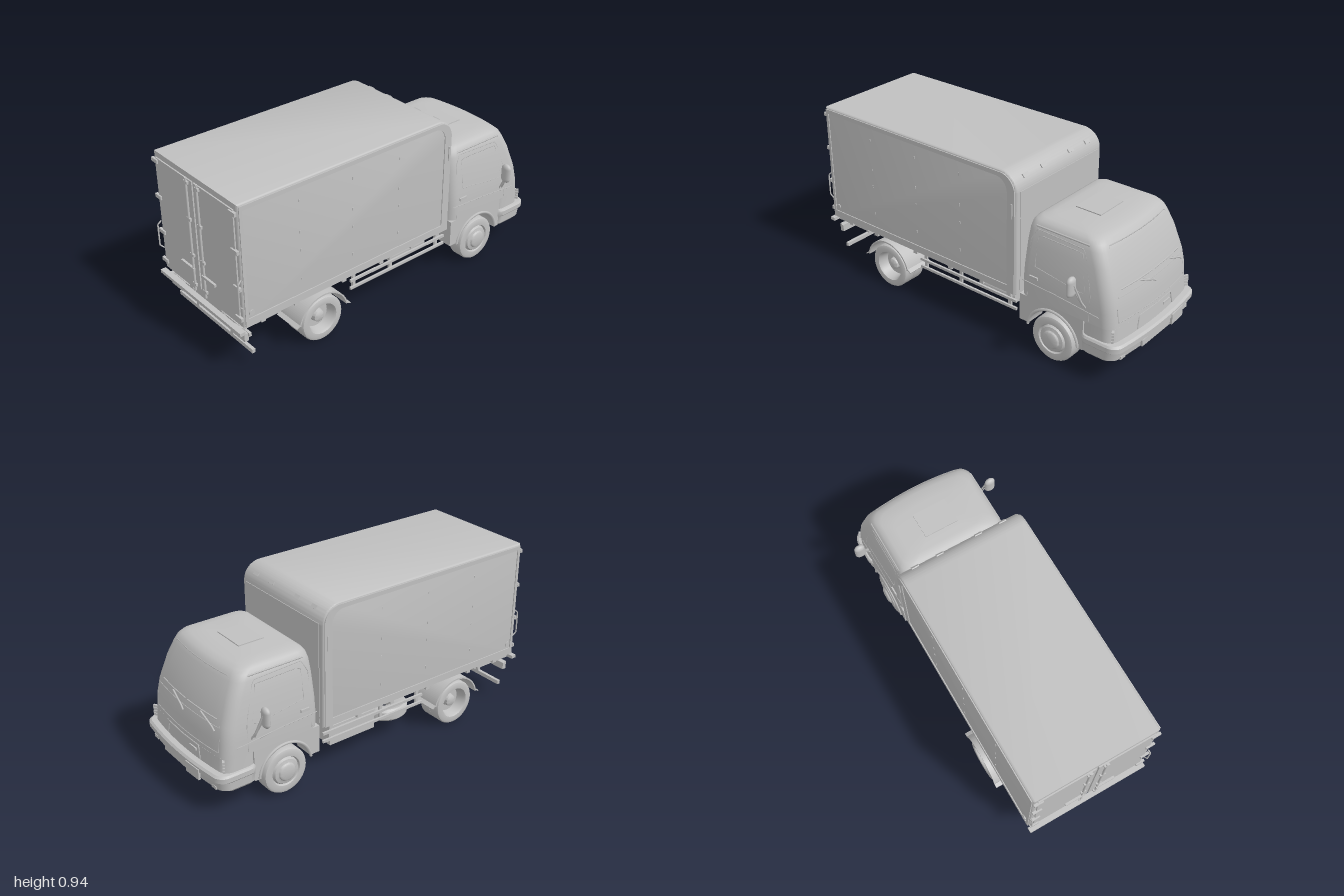
import * as THREE from 'three';
import { toCreasedNormals } from 'three/addons/utils/BufferGeometryUtils.js';

const paint = new THREE.MeshStandardMaterial({ color: 0xc0c0c0 });
paint.name = 'plainGrey';

function add(parent, name, geo, x = 0, y = 0, z = 0) {
  const m = new THREE.Mesh(geo, paint);
  m.name = name;
  m.position.set(x, y, z);
  parent.add(m);
  return m;
}
const box = (p, name, w, h, d, x, y, z) => add(p, name, new THREE.BoxGeometry(w, h, d), x, y, z);
function rod(p, name, pts, r, n = 6) {
  const path = new THREE.CurvePath();
  const v = pts.map(a => new THREE.Vector3(...a));
  for (let i = 1; i < v.length; i++) path.add(new THREE.LineCurve3(v[i - 1], v[i]));
  return add(p, name, new THREE.TubeGeometry(path, (v.length - 1) * 6, r, n), 0, 0, 0);
}
function cylinder(p, name, r, len, axis, x, y, z) {
  const m = add(p, name, new THREE.CylinderGeometry(r, r, len, 24), x, y, z);
  if (axis === 'x') m.rotation.z = Math.PI / 2;
  if (axis === 'z') m.rotation.x = Math.PI / 2;
  return m;
}
const lathe = pts => toCreasedNormals(
  new THREE.LatheGeometry(pts.map(p => new THREE.Vector2(...p)), 40), 0.6).rotateX(Math.PI / 2);

// Rounded plan outline whose front edge bows forward
function ring([y, xb, xf, w, r]) {
  const out = [], mid = (xb + xf) / 2;
  for (let i = 1; i < 10; i++) out.push([xf, (w - r) * (i / 5 - 1)]);
  [[xf - r, w - r], [xb + r, w - r], [xb + r, r - w], [xf - r, r - w]].forEach(([cx, cz], q) => {
    for (let i = 0; i <= 6; i++) {
      const a = (q + i / 6) * Math.PI / 2;
      out.push([cx + r * Math.cos(a), cz + r * Math.sin(a)]);
    }
  });
  return out.map(([x, z]) => [x > mid ? x - 0.03 * (z / w) ** 2 : x, y, z]);
}
function loft(levels) {
  const rings = levels.map(ring), n = rings[0].length, idx = [];
  const pos = rings.flat(2), top = rings.length - 1, c = rings.length * n;
  for (const l of [levels[0], levels[top]]) pos.push((l[1] + l[2]) / 2, l[0], 0);
  for (let j = 0; j < n; j++) {
    const k = (j + 1) % n;
    for (let i = 0; i < top; i++) {
      const a = i * n + j, b = i * n + k;
      idx.push(a, a + n, b, a + n, b + n, b);
    }
    idx.push(c, j, k, c + 1, top * n + k, top * n + j);
  }
  const g = new THREE.BufferGeometry();
  g.setAttribute('position', new THREE.Float32BufferAttribute(pos, 3));
  g.setIndex(idx);
  return toCreasedNormals(g, 0.6);
}

// Cab levels: y, back x, front x, half width, corner radius
const CAB = [[0.31, 0.385, 0.955, 0.345, 0.05], [0.39, 0.383, 0.947, 0.345, 0.05],
  [0.47, 0.383, 0.932, 0.34, 0.055], [0.6, 0.388, 0.886, 0.322, 0.055],
  [0.67, 0.393, 0.852, 0.308, 0.055], [0.7, 0.4, 0.835, 0.298, 0.055],
  [0.718, 0.41, 0.815, 0.284, 0.055], [0.73, 0.43, 0.785, 0.262, 0.055],
  [0.737, 0.47, 0.72, 0.21, 0.055]];
function cabAt(y, k) {
  let i = 0;
  while (i < CAB.length - 2 && CAB[i + 1][0] < y) i++;
  const a = CAB[i], b = CAB[i + 1];
  return a[k] + (b[k] - a[k]) * (y - a[0]) / (b[0] - a[0]);
}
const onSide = (x, y, s) => [x, y, s * cabAt(y, 3)];
const onFront = (y, z) => [cabAt(y, 2) - 0.03 * (z / cabAt(y, 3)) ** 2, y, z];

function buildCab(root) {
  const cab = new THREE.Group();
  cab.name = 'cab';
  root.add(cab);
  add(cab, 'cabShell', loft(CAB));
  add(cab, 'bumper', loft([[0.135, 0.76, 0.955, 0.34, 0.04], [0.15, 0.75, 0.978, 0.352, 0.045],
    [0.195, 0.75, 0.985, 0.355, 0.045], [0.203, 0.75, 1, 0.362, 0.05], [0.228, 0.75, 1, 0.362, 0.05],
    [0.238, 0.75, 0.99, 0.355, 0.05], [0.24, 0.75, 0.962, 0.346, 0.05], [0.312, 0.75, 0.955, 0.345, 0.05]]));
  // Lower sides with wheel arches
  const side = new THREE.Shape([[0.385, 0.31], [0.385, 0.16], [0.443, 0.16]].map(p => new THREE.Vector2(...p)));
  side.absarc(0.59, 0.13, 0.15, Math.PI * 0.94, Math.PI * 0.02, true);
  side.lineTo(0.77, 0.14);
  side.lineTo(0.77, 0.31);
  const sideGeo = new THREE.ExtrudeGeometry(side, { depth: 0.11, bevelEnabled: false, curveSegments: 20 });
  for (const s of [1, -1]) {
    add(cab, 'wheelArchPanel', sideGeo, 0, 0, s > 0 ? 0.235 : -0.345);
    const lip = add(cab, 'archLip', new THREE.TorusGeometry(0.154, 0.008, 6, 24, Math.PI * 0.92), 0.59, 0.13, s * 0.345);
    lip.rotation.z = 0.1;
    // Door, window and belt seams
    rod(cab, 'doorSeam', [onSide(0.8, 0.32, s), onSide(0.8, 0.47, s), onSide(0.74, 0.67, s),
      onSide(0.46, 0.68, s), onSide(0.43, 0.62, s), onSide(0.43, 0.32, s)], 0.0025, 4);
    rod(cab, 'beltSeam', [onSide(0.4, 0.395, s), onSide(0.6, 0.385, s), onSide(0.86, 0.36, s)], 0.003, 4);
    rod(cab, 'windowSeam', [onSide(0.47, 0.49, s), onSide(0.77, 0.45, s), onSide(0.73, 0.65, s),
      onSide(0.47, 0.655, s), onSide(0.47, 0.49, s)], 0.0025, 4);
    box(cab, 'doorHandle', 0.05, 0.015, 0.01, 0.47, 0.43, s * 0.345);
    // Mirror with two stays
    const head = add(cab, 'mirrorHead', new THREE.CapsuleGeometry(0.026, 0.058, 6, 16), 0.735, 0.512, s * 0.405);
    head.scale.set(0.7, 1, 1.15);
    rod(cab, 'mirrorStay', [[0.78, 0.38, s * 0.34], [0.77, 0.42, s * 0.365], [0.75, 0.53, s * 0.405]], 0.005);
    rod(cab, 'mirrorStay', [[0.76, 0.38, s * 0.34], [0.76, 0.41, s * 0.355], [0.745, 0.5, s * 0.4]], 0.004);
    // Corner lamps, fog lamps and rain gutters
    for (let i = 0; i < 4; i++) {
      const l = box(cab, 'cornerLamp', 0.012, 0.013, 0.055, 0.921, 0.254 + i * 0.016, s * 0.315);
      l.rotation.y = s * 0.55;
    }
    box(cab, 'fogLamp', 0.012, 0.018, 0.04, 0.957, 0.155, s * 0.28);
    rod(cab, 'roofGutter', [onSide(0.45, 0.695, s), onSide(0.76, 0.695, s)], 0.005);
    // Wiper
    const w = s > 0 ? 0 : -0.26;
    rod(cab, 'wiperArm', [onFront(0.44, w), onFront(0.455, w + 0.02), onFront(0.492, w + 0.12)].map(
      p => [p[0] + 0.008, p[1], p[2]]), 0.005);
    rod(cab, 'wiperBlade', [onFront(0.494, w + 0.005), onFront(0.494, w + 0.13), onFront(0.494, w + 0.25)], 0.004);
  }
  // Front panel seams, grille, plate and roof hatch
  const span = (y, w) => Array.from({ length: 9 }, (_, i) => onFront(y, w * (i / 4 - 1)));
  rod(cab, 'screenSeam', [...span(0.46, 0.28), ...span(0.69, 0.24).reverse(), onFront(0.46, -0.28)], 0.0025, 4);
  rod(cab, 'frontPanelSeam', [onFront(0.41, -0.29), ...span(0.335, 0.29), onFront(0.41, 0.29)], 0.003, 4);
  rod(cab, 'grilleSeam', [[0.956, 0.245, -0.155], [0.952, 0.312, -0.14], [0.957, 0.312, 0],
    [0.952, 0.312, 0.14], [0.956, 0.245, 0.155]], 0.004, 4);
  box(cab, 'frontBadgePlate', 0.008, 0.012, 0.06, 0.957, 0.282, -0.095);
  box(cab, 'lowerIntake', 0.01, 0.035, 0.3, 0.981, 0.17, 0);
  const plate = box(cab, 'numberPlate', 0.012, 0.058, 0.11, 0.994, 0.19, -0.145);
  plate.rotation.y = 0.06;
  box(cab, 'roofHatch', 0.145, 0.012, 0.19, 0.602, 0.736, 0);
}

function buildCargo(root) {
  const cargo = new THREE.Group();
  cargo.name = 'cargoBox';
  root.add(cargo);
  const outline = (C, x0, x1, y0, y1, r) => {
    const s = new C();
    s.moveTo(x0, y0);
    s.lineTo(x1, y0);
    s.lineTo(x1, y1 - r);
    s.absarc(x1 - r, y1 - r, r, 0, Math.PI / 2, false);
    s.lineTo(x0, y1);
    s.closePath();
    return s;
  };
  const b = 0.012;
  const body = new THREE.ExtrudeGeometry(outline(THREE.Shape, -0.97 + b, 0.36 - b, 0.28 + b, 0.945 - b, 0.09),
    { depth: 0.666, bevelSize: b, bevelThickness: b, bevelSegments: 4, curveSegments: 14 });
  add(cargo, 'cargoBody', toCreasedNormals(body, 0.6), 0, 0, -0.333);
  const frame = outline(THREE.Shape, -0.962, 0.35, 0.285, 0.935, 0.09);
  frame.holes.push(outline(THREE.Path, -0.945, 0.305, 0.325, 0.912, 0.07));
  const frameGeo = new THREE.ExtrudeGeometry(frame, { depth: 0.006, bevelEnabled: false, curveSegments: 14 });
  for (const s of [1, -1]) {
    add(cargo, 'sideFrame', frameGeo, 0, 0, s > 0 ? 0.344 : -0.35);
    for (const x of [-0.63, -0.31, -0.005]) for (const y of [0.84, 0.67, 0.57, 0.41])
      box(cargo, 'rivet', 0.006, 0.014, 0.004, x, y, s * 0.346);
    cylinder(cargo, 'sideCap', 0.015, 0.006, 'z', -0.925, 0.352, s * 0.347);
    box(cargo, 'sideLatch', 0.008, 0.08, 0.006, 0.335, 0.75, s * 0.352);
    // Rear doors with lock rods, hinges and grab handle
    box(cargo, 'rearDoor', 0.01, 0.6, 0.315, -0.972, 0.615, s * 0.164);
    cylinder(cargo, 'lockRod', 0.006, 0.63, 'y', -0.983, 0.61, s * 0.045);
    box(cargo, 'lockHandle', 0.012, 0.014, 0.11, -0.986, 0.42, s * 0.09);
    for (const y of [0.33, 0.5, 0.7, 0.9]) {
      box(cargo, 'hinge', 0.014, 0.02, 0.05, -0.978, y, s * 0.32);
      box(cargo, 'rodGuide', 0.016, 0.016, 0.03, -0.98, y, s * 0.045);
    }
    rod(cargo, 'grabHandle', [[-0.97, 0.39, s * 0.34], [-0.99, 0.41, s * 0.345],
      [-0.99, 0.53, s * 0.345], [-0.97, 0.55, s * 0.34]], 0.004);
    for (const z of [0.11, 0.25]) {
      const lamp = box(cargo, 'markerLamp', 0.012, 0.02, 0.04, 0.336, 0.908, s * z);
      lamp.rotation.z = 0.7;
    }
  }
  box(cargo, 'frontPanel', 0.006, 0.55, 0.63, 0.36, 0.575, 0);
}

function buildChassis(root) {
  const ch = new THREE.Group();
  ch.name = 'chassis';
  root.add(ch);
  for (const s of [1, -1]) {
    box(ch, 'frameRail', 1.8, 0.05, 0.025, -0.05, 0.225, s * 0.125);
    box(ch, 'floorSill', 1.3, 0.035, 0.03, -0.31, 0.265, s * 0.125);
    // Side guards
    for (const y of [0.235, 0.19]) box(ch, 'sideGuard', 0.66, 0.014, 0.012, 0.02, y, s * 0.325);
    for (const x of [-0.28, -0.03, 0.3]) box(ch, 'guardPost', 0.018, 0.1, 0.012, x, 0.23, s * 0.315);
    // Leaf springs
    for (const [cx, d] of [[-0.52, 0.17], [0.59, 0.15]])
      rod(ch, 'leafSpring', [[cx - d, 0.205, s * 0.165], [cx - d / 2, 0.165, s * 0.165], [cx, 0.15, s * 0.165],
        [cx + d / 2, 0.165, s * 0.165], [cx + d, 0.205, s * 0.165]], 0.012);
    // Rear mudguard
    const g = new THREE.Shape();
    g.absarc(0, 0, 0.155, 0.2, Math.PI - 0.2, false);
    g.absarc(0, 0, 0.147, Math.PI - 0.2, 0.2, true);
    add(ch, 'rearMudguard', new THREE.ExtrudeGeometry(g, { depth: 0.16, bevelEnabled: false, curveSegments: 24 }),
      -0.52, 0.125, s > 0 ? 0.215 : -0.375);
    for (const e of [1, -1]) {
      const f = box(ch, 'mudFlap', 0.025, 0.006, 0.16, -0.52 + e * 0.16, 0.155, s * 0.295);
      f.rotation.z = -e * 0.6;
    }
    // Rear bumper supports and lamps
    box(ch, 'underrunPost', 0.018, 0.13, 0.02, -0.91, 0.16, s * 0.15);
    box(ch, 'rearLamp', 0.025, 0.045, 0.1, -0.945, 0.2, s * 0.27);
    box(ch, 'lampBracket', 0.24, 0.014, 0.02, -0.86, 0.25, s * 0.3);
  }
  for (const x of [-0.93, -0.68, -0.36, -0.1, 0.15, 0.38]) box(ch, 'crossMember', 0.03, 0.04, 0.25, x, 0.225, 0);
  for (const x of [-0.85, -0.65, -0.35, -0.1, 0.12, 0.3]) box(ch, 'floorBeam', 0.025, 0.03, 0.66, x, 0.268, 0);
  box(ch, 'rearStep', 0.03, 0.018, 0.7, -0.985, 0.255, 0);
  box(ch, 'lampBar', 0.014, 0.02, 0.66, -0.93, 0.215, 0);
  box(ch, 'underrunBar', 0.018, 0.022, 0.64, -0.91, 0.101, 0);
  // Driveline
  cylinder(ch, 'rearAxle', 0.026, 0.5, 'z', -0.52, 0.125, 0);
  add(ch, 'differential', new THREE.SphereGeometry(0.055, 20, 14), -0.52, 0.145, 0);
  cylinder(ch, 'frontAxle', 0.02, 0.54, 'z', 0.59, 0.125, 0);
  rod(ch, 'driveShaft', [[-0.5, 0.15, 0], [0.35, 0.2, 0]], 0.014, 12);
  box(ch, 'engine', 0.4, 0.16, 0.2, 0.66, 0.24, 0);
  box(ch, 'gearbox', 0.2, 0.09, 0.12, 0.38, 0.215, 0);
  // Tanks and spare wheel
  box(ch, 'fuelTank', 0.29, 0.11, 0.14, 0.145, 0.19, -0.235);
  cylinder(ch, 'airTank', 0.035, 0.24, 'x', 0.16, 0.19, 0.22);
  const spare = add(ch, 'spareWheel', lathe([[0.03, -0.015], [0.08, -0.03], [0.11, -0.035], [0.125, -0.02],
    [0.125, 0.02], [0.11, 0.035], [0.08, 0.03], [0.03, 0.015], [0.03, -0.015]]), -0.17, 0.15, -0.18);
  spare.rotation.x = Math.PI / 2;
}

function buildWheels(root) {
  const front = lathe([[0, -0.02], [0.07, -0.03], [0.08, -0.045], [0.108, -0.047], [0.12, -0.042], [0.125, -0.032],
    [0.125, 0.032], [0.12, 0.042], [0.108, 0.047], [0.082, 0.045], [0.076, 0.034], [0.068, 0.048],
    [0.05, 0.052], [0.045, 0.06], [0.036, 0.064], [0, 0.064]]);
  const rear = lathe([[0, -0.03], [0.075, -0.03], [0.085, -0.037], [0.108, -0.039], [0.12, -0.034], [0.125, -0.026],
    [0.125, 0.026], [0.12, 0.034], [0.108, 0.039], [0.085, 0.037], [0.078, 0.025], [0.07, -0.02],
    [0.036, -0.02], [0.03, 0.008], [0.02, 0.014], [0, 0.014]]);
  for (const s of [1, -1]) {
    for (const [name, geo, x, z] of [['frontWheel', front, 0.59, 0.302],
      ['rearOuterWheel', rear, -0.52, 0.328], ['rearInnerWheel', rear, -0.52, 0.257]]) {
      const w = add(root, name, geo, x, 0.125, s * z);
      if (s < 0) w.rotation.y = Math.PI;
    }
  }
}

export function createModel() {
  const truck = new THREE.Group();
  truck.name = 'boxTruck';
  buildCab(truck);
  buildCargo(truck);
  buildChassis(truck);
  buildWheels(truck);
  return truck;
}
